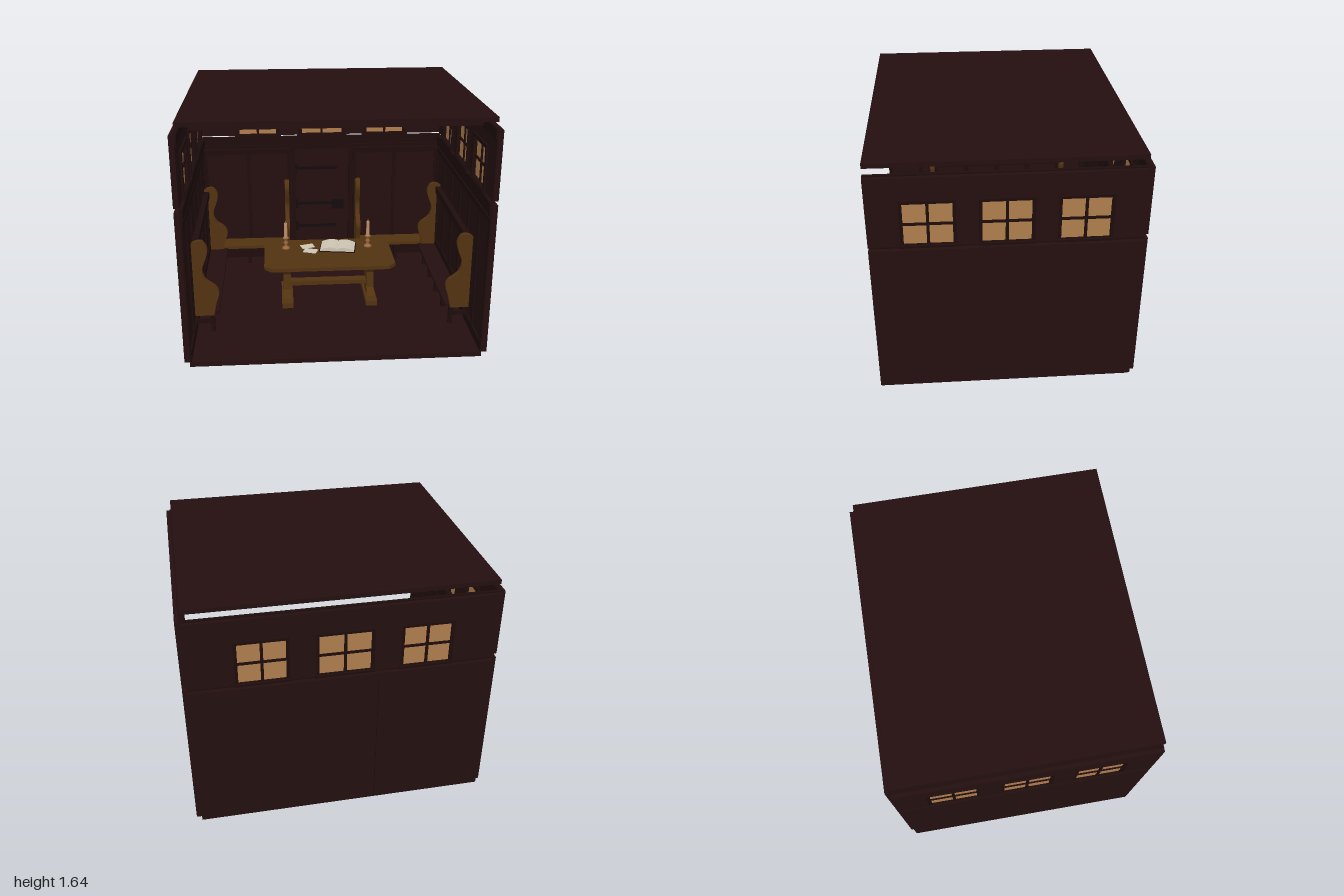
import * as THREE from 'three';

const material = (name, color) => {
  const m = new THREE.MeshStandardMaterial({ color, side: THREE.DoubleSide });
  m.name = name;
  return m;
};

export function createModel() {
  const wallWood = material('dark wall wood', 0x240f0f);
  const trimWood = material('dark trim wood', 0x1e0c0c);
  const oak = material('oak', 0x523310);
  const glass = material('amber glass', 0xb07e4e);
  const paper = material('paper', 0xcfc6b4);
  const wax = material('candle wax', 0xc09068);
  const brass = material('brass', 0x9a6a3c);
  const iron = material('iron', 0x150c0c);

  const room = new THREE.Group();
  room.name = 'tavernRoom';

  const add = (parent, name, geometry, mat) => {
    const mesh = new THREE.Mesh(geometry, mat);
    mesh.name = name;
    parent.add(mesh);
    return mesh;
  };
  // box given by its limits on each axis
  const box = (parent, name, mat, x0, x1, y0, y1, z0, z1) => {
    const mesh = add(parent, name, new THREE.BoxGeometry(x1 - x0, y1 - y0, z1 - z0), mat);
    mesh.position.set((x0 + x1) / 2, (y0 + y1) / 2, (z0 + z1) / 2);
    return mesh;
  };
  const rectPath = (x0, x1, y0, y1) => [[x0, y0], [x1, y0], [x1, y1], [x0, y1]].map(p => new THREE.Vector2(...p));
  const extrude = (shape, depth) => new THREE.ExtrudeGeometry(shape, { depth, bevelEnabled: false, curveSegments: 6 });
  const group = (name, x, z, turn) => {
    const g = new THREE.Group();
    g.name = name;
    g.position.set(x, 0, z);
    g.rotation.y = turn;
    room.add(g);
    return g;
  };

  // floor and roof
  box(room, 'floor', wallWood, -0.965, 0.965, 0, 0.035, -0.81, 0.845);
  box(room, 'roof', wallWood, -0.965, 0.965, 1.61, 1.64, -0.81, 0.845);
  box(room, 'ceiling', wallWood, -0.89, 0.89, 1.572, 1.602, -0.745, 0.775);
  for (let i = -2; i <= 2; i++)
    for (const z of [0.57, 0.2, -0.17, -0.545])
      box(room, 'ceilingCoffer', trimWood, i * 0.37 - 0.135, i * 0.37 + 0.135, 1.6, 1.612, z - 0.133, z + 0.133);

  const T = 0.035; // wall thickness; each wall's inner face points along its local +z

  const addWindow = (wall, u, half) => {
    const y0 = 1.115, y1 = 1.385, f = 0.028;
    const g = new THREE.Group();
    g.name = 'window';
    g.position.x = u;
    wall.add(g);
    const frame = new THREE.Shape(rectPath(-half - f, half + f, y0 - f, y1 + f));
    frame.holes.push(new THREE.Path(rectPath(-half, half, y0, y1)));
    add(g, 'windowFrame', extrude(frame, T + 0.008), trimWood).position.z = 0.005;
    box(g, 'windowGlass', glass, -half, half, y0, y1, 0.016, 0.02);
    box(g, 'windowMullion', trimWood, -0.009, 0.009, y0, y1, 0.008, 0.03);
    box(g, 'windowTransom', trimWood, -half, half, 1.241, 1.257, 0.008, 0.03);
    box(g, 'windowSill', trimWood, -half - f - 0.01, half + f + 0.01, y0 - f, y0 - 0.008, T, T + 0.02);
  };

  const addWall = (wall, u0, u1, windows, stiles, door) => {
    // lower wall, notched for the door
    const outline = [[u0, 0.035], [u0, 1.075], [u1, 1.075], [u1, 0.035]];
    if (door) outline.push([0.22, 0.035], [0.22, 1.01], [-0.22, 1.01], [-0.22, 0.035]);
    add(wall, 'lowerWall', extrude(new THREE.Shape(outline.map(p => new THREE.Vector2(...p))), T), wallWood);
    // upper wall with window openings
    const upper = new THREE.Shape(rectPath(u0, u1, 1.104, 1.56));
    for (const [u, half] of windows) upper.holes.push(new THREE.Path(rectPath(u - half - 0.02, u + half + 0.02, 1.11, 1.405)));
    add(wall, 'upperWall', extrude(upper, T), wallWood);
    for (const [u, half] of windows) addWindow(wall, u, half);
    // inner rails and panel stiles
    box(wall, 'wallRail', trimWood, u0, u1, 1.03, 1.096, T - 0.005, T + 0.02);
    box(wall, 'wallRailLip', trimWood, u0, u1, 1.0, 1.02, T, T + 0.012);
    box(wall, 'wallCornice', trimWood, u0, u1, 1.5, 1.568, T - 0.01, T + 0.012);
    const spans = door ? [[u0, -0.25], [0.25, u1]] : [[u0, u1]];
    for (const [a, b] of spans) {
      box(wall, 'panelTopRail', trimWood, a, b, 0.945, 0.985, T, T + 0.01);
      box(wall, 'skirting', trimWood, a, b, 0.035, 0.1, T, T + 0.012);
    }
    for (const u of stiles) {
      box(wall, 'panelStile', trimWood, u - 0.014, u + 0.014, 0.1, 0.945, T, T + 0.01);
    }
  };

  const backWall = group('backWall', 0, -0.845, 0);
  addWall(backWall, -0.965, 0.965, [[-0.517, 0.148], [0, 0.162], [0.513, 0.148]],
    [-0.95, -0.6, -0.27, 0.27, 0.6, 0.95], true);
  const windowZ = [0.485, 0.018, -0.4525], sideStiles = [-0.78, -0.5, -0.23, 0.04, 0.31, 0.58, 0.83];
  const leftWall = group('leftWall', 1, 0, -Math.PI / 2);
  addWall(leftWall, -0.81, 0.845, windowZ.map(z => [z, 0.147]), sideStiles, false);
  const rightWall = group('rightWall', -1, 0, Math.PI / 2);
  addWall(rightWall, -0.845, 0.81, windowZ.map(z => [-z, 0.147]), sideStiles.map(u => -u), false);

  // recessed door with strap hinges and lock
  const door = group('door', 0, -0.845, 0);
  box(door, 'doorLeaf', wallWood, -0.22, 0.22, 0.035, 1.01, 0.018, 0.035);
  for (const s of [-1, 1]) box(door, 'doorJamb', trimWood, s * 0.235 - 0.015, s * 0.235 + 0.015, 0.035, 1.03, T, T + 0.025);
  box(door, 'doorHead', trimWood, -0.25, 0.25, 0.99, 1.03, T, T + 0.025);
  for (const y of [0.31, 0.51, 0.82]) {
    box(door, 'strapHinge', iron, -0.21, 0.1, y - 0.012, y + 0.012, T, T + 0.007);
    add(door, 'hingeTip', new THREE.CylinderGeometry(0.02, 0.02, 0.007, 4).rotateX(Math.PI / 2), iron).position.set(0.11, y, T + 0.0035);
    box(door, 'hingeKnuckle', iron, -0.225, -0.2, y - 0.04, y + 0.04, T, T + 0.012);
  }
  box(door, 'doorLock', iron, 0.08, 0.18, 0.46, 0.545, T, T + 0.015);

  // scrolled bench end: profile in depth and height, standing across the bench
  const benchEndShape = new THREE.Shape();
  benchEndShape.moveTo(0, 0.185);
  benchEndShape.lineTo(0, 0.72);
  benchEndShape.splineThru([[0.03, 0.737], [0.075, 0.735], [0.105, 0.685], [0.095, 0.62], [0.065, 0.53], [0.085, 0.455],
    [0.15, 0.4], [0.17, 0.35], [0.15, 0.28], [0.13, 0.185]].map(p => new THREE.Vector2(...p)));
  const benchEnd = extrude(benchEndShape, 0.035).translate(0, 0, -0.0175).rotateY(-Math.PI / 2);

  const addBench = (bench, u0, u1, ends, seatMat, tall) => {
    box(bench, 'benchSeat', seatMat, u0, u1, 0.185, 0.208, 0, 0.165);
    box(bench, 'benchApron', trimWood, u0, u1, 0.15, 0.185, 0.1, 0.115);
    for (const u of ends) add(bench, 'benchEnd', benchEnd, oak).position.x = u;
    const count = Math.max(2, Math.round((u1 - u0) / 0.27));
    for (let i = 0; i <= count; i++) {
      const u = u0 + 0.04 + (u1 - u0 - 0.08) * i / count;
      box(bench, 'benchLeg', trimWood, u - 0.014, u + 0.014, 0.035, 0.185, 0.1, 0.128);
      box(bench, 'benchBracket', trimWood, u - 0.01, u + 0.01, 0.1, 0.13, 0, 0.11);
    }
    if (!tall) return;
    // panelled back
    box(bench, 'benchBack', wallWood, u0, u1, 0.2, 0.69, 0, 0.018);
    box(bench, 'benchTopRail', trimWood, u0, u1, 0.66, 0.71, 0, 0.04);
    box(bench, 'benchLowRail', trimWood, u0, u1, 0.208, 0.26, 0.01, 0.028);
    for (let i = 0; i <= 4; i++) {
      const u = u0 + 0.02 + (u1 - u0 - 0.04) * i / 4;
      box(bench, 'benchBackStile', trimWood, u - 0.02, u + 0.02, 0.26, 0.66, 0.01, 0.028);
    }
  };
  for (const s of [-1, 1]) {
    const back = group('backBench', 0, -0.8, 0);
    addBench(back, s < 0 ? -0.95 : 0.275, s < 0 ? -0.275 : 0.95, [s * 0.292], oak, false);
    const side = group('sideBench', s * 0.953, -0.06, -s * Math.PI / 2);
    addBench(side, -0.54, 0.54, [-0.54, 0.54], wallWood, true);
  }

  // trestle table with clipped corners
  const table = group('table', 0, -0.04, 0);
  const c = 0.05, hx = 0.478, hz = 0.26;
  const topShape = new THREE.Shape([[-hx + c, -hz], [hx - c, -hz], [hx, -hz + c], [hx, hz - c], [hx - c, hz],
    [-hx + c, hz], [-hx, hz - c], [-hx, -hz + c]].map(p => new THREE.Vector2(...p)));
  add(table, 'tableTop', extrude(topShape, 0.027).rotateX(-Math.PI / 2), oak).position.y = 0.365;
  const legShape = new THREE.Shape([[-0.12, 0.07], [0.12, 0.07], [0.07, 0.13], [0.06, 0.25], [0.11, 0.335],
    [-0.11, 0.335], [-0.06, 0.25], [-0.07, 0.13]].map(p => new THREE.Vector2(...p)));
  for (const s of [-1, 1]) {
    const x = s * 0.312;
    add(table, 'tableLeg', extrude(legShape, 0.055).translate(0, 0, -0.0275).rotateY(Math.PI / 2), oak).position.x = x;
    box(table, 'tableFoot', oak, x - 0.042, x + 0.042, 0.036, 0.075, -0.19, 0.19);
    box(table, 'tableBearer', oak, x - 0.042, x + 0.042, 0.33, 0.365, -0.18, 0.18);
  }
  box(table, 'tableStretcher', oak, -0.3, 0.3, 0.145, 0.177, -0.035, 0.035);

  // candlesticks
  const lathe = points => new THREE.LatheGeometry(points.map(p => new THREE.Vector2(...p)), 14);
  for (const x of [-0.315, 0.31]) {
    const candle = group('candlestick', x, -0.14, 0);
    candle.position.y = 0.392;
    add(candle, 'candleHolder', lathe([[0, 0], [0.03, 0], [0.028, 0.012], [0.012, 0.02], [0.011, 0.04], [0.02, 0.05],
      [0.011, 0.06], [0.012, 0.075], [0.024, 0.085], [0.022, 0.092], [0, 0.092]]), brass);
    add(candle, 'candle', lathe([[0.013, 0.09], [0.0125, 0.2], [0.009, 0.21], [0, 0.207]]), wax);
    add(candle, 'candleWick', new THREE.ConeGeometry(0.005, 0.03, 6), brass).position.y = 0.22;
  }

  // open book and loose sheets
  const book = group('openBook', 0.08, -0.13, -0.15);
  box(book, 'bookCover', trimWood, -0.135, 0.135, 0.392, 0.397, -0.09, 0.09);
  const pages = new THREE.Shape();
  pages.moveTo(0, 0);
  pages.lineTo(0.128, 0);
  pages.lineTo(0.128, 0.01);
  pages.quadraticCurveTo(0.05, 0.045, 0, 0.02);
  for (const s of [-1, 1]) {
    const block = add(book, 'bookPages', extrude(pages, 0.166).translate(0, 0, -0.083), paper);
    block.position.y = 0.397;
    if (s < 0) block.rotation.y = Math.PI;
  }
  [[-0.15, -0.17, 0.3], [-0.13, -0.08, -0.35]].forEach(([x, z, turn], i) => {
    const sheet = group('looseSheet', x, z, turn);
    box(sheet, 'sheet', paper, -0.05, 0.05, 0.392, 0.395 + i * 0.002, -0.035, 0.035);
  });

  return room;
}
